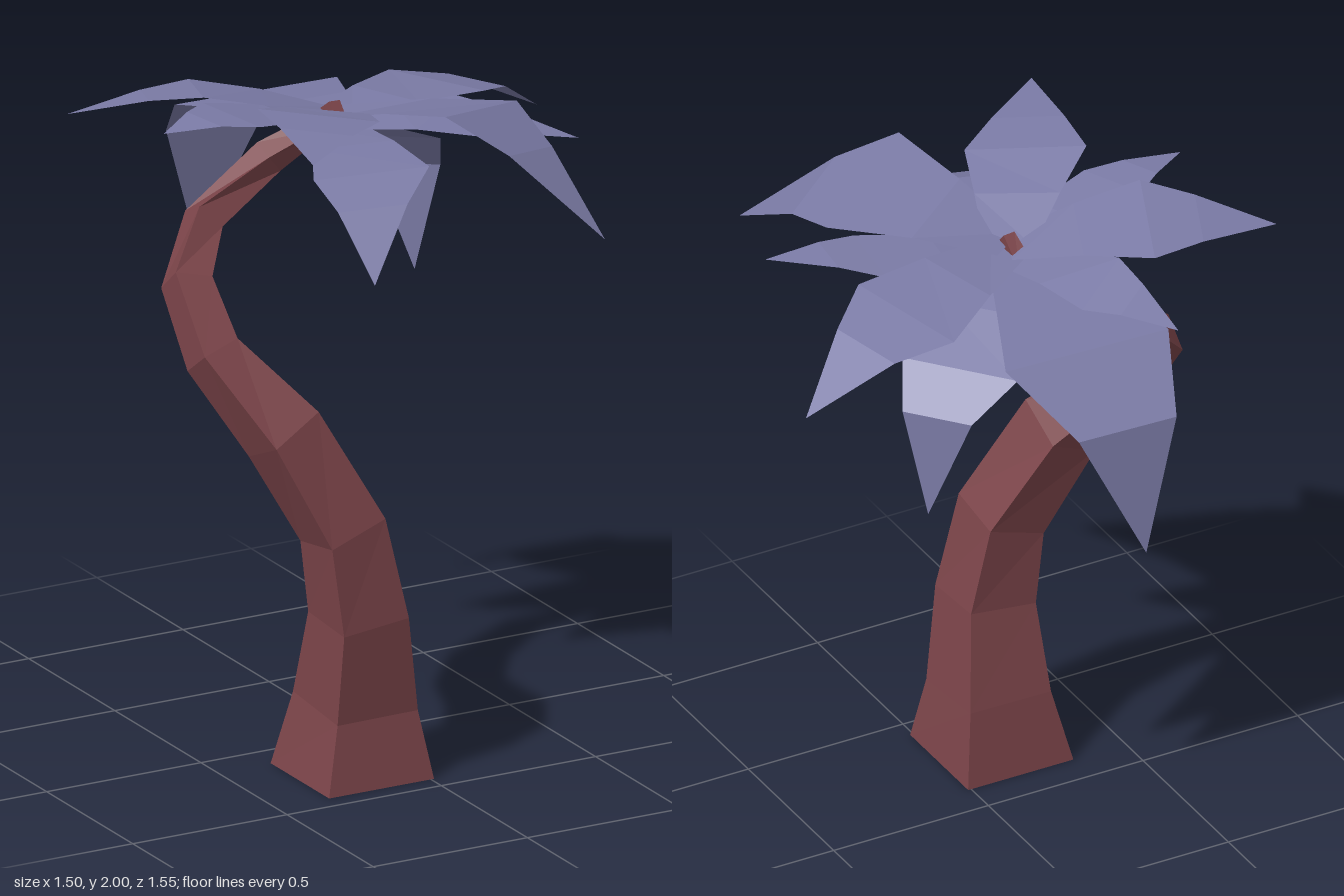
import * as THREE from 'three';

const V = (p) => new THREE.Vector3(...p);

function meshFrom(tris, material, name) {
  const geo = new THREE.BufferGeometry().setFromPoints(tris);
  geo.computeVertexNormals();
  const mesh = new THREE.Mesh(geo, material);
  mesh.name = name;
  return mesh;
}

// Square-section trunk swept through [x, y, z, half width] stations
function buildTrunk(material) {
  const stations = [
    [-0.16, 0, 0.27, 0.17], [-0.15, 0.21, 0.27, 0.13], [-0.165, 0.485, 0.315, 0.105],
    [-0.21, 0.745, 0.305, 0.094], [-0.36, 1.035, 0.23, 0.088], [-0.51, 1.255, 0.085, 0.062],
    [-0.515, 1.43, -0.055, 0.056], [-0.39, 1.56, -0.18, 0.045], [-0.18, 1.71, -0.18, 0.037],
    [-0.06, 1.82, -0.09, 0.026], [-0.052, 1.89, -0.015, 0.018],
  ];
  const centres = stations.map((s) => V(s.slice(0, 3)));
  const last = stations.length - 1;
  const rings = centres.map((c, i) => {
    const t = i === 0 ? V([0, 1, 0])
      : centres[Math.min(i + 1, last)].clone().sub(centres[i - 1]).normalize();
    const u = V([1, 0, 0]).addScaledVector(t, -t.x).normalize();
    const v = u.clone().cross(t);
    const w = stations[i][3];
    return [[1, 1], [1, -1], [-1, -1], [-1, 1]].map(([a, b]) =>
      c.clone().addScaledVector(u, a * w).addScaledVector(v, b * w));
  });
  const tris = [];
  for (let i = 0; i < last; i++) {
    for (let k = 0; k < 4; k++) {
      const n = (k + 1) % 4, lo = rings[i], hi = rings[i + 1];
      tris.push(lo[k], lo[n], hi[n], lo[k], hi[n], hi[k]);
    }
  }
  const b = rings[0], e = rings[last];
  tris.push(b[0], b[2], b[1], b[0], b[3], b[2], e[0], e[1], e[2], e[0], e[2], e[3]);
  return meshFrom(tris, material, 'trunk');
}

// Frond: narrow base at the crown, two widest corners, a bent section, a point
function buildFrond({ left, right, tip, bend = [0, 0.03, 0], crown = 1.86 }, material, name) {
  const l = V(left), r = V(right), end = V(tip), offset = V(bend);
  const across = l.clone().sub(r).setY(0).setLength(0.07);
  const hub = V([-0.05, crown, -0.03]);
  const lift = V([0, 0.012, 0]);
  const bl = hub.clone().add(across), br = hub.clone().sub(across);
  const sections = [
    [bl, br],
    [bl.clone().lerp(l, 0.5).add(lift), br.clone().lerp(r, 0.5).add(lift)],
    [l, r],
    [l.clone().lerp(end, 0.4).add(offset), r.clone().lerp(end, 0.4).add(offset)],
  ];
  const tris = [];
  for (let i = 0; i < 3; i++) {
    const [a, b] = sections[i], [c, d] = sections[i + 1];
    tris.push(a, b, d, a, d, c);
  }
  tris.push(sections[3][0], sections[3][1], end);
  return meshFrom(tris, material, name);
}

export function createModel() {
  const model = new THREE.Group();
  model.name = 'palmTree';
  const bark = new THREE.MeshStandardMaterial({ color: 0x7b4449, flatShading: true });
  const leaf = new THREE.MeshStandardMaterial({
    color: 0x7b7ba6, flatShading: true, side: THREE.DoubleSide,
  });
  model.add(buildTrunk(bark));

  const fronds = {
    backFrond: { left: [0.22, 1.78, -0.5], right: [-0.295, 1.78, -0.52], tip: [-0.08, 1.24, -0.78], bend: [0, 0.06, -0.1], crown: 1.85 },
    leftFrond: { left: [0.42, 1.86, 0], right: [0.31, 1.83, -0.36], tip: [0.75, 1.67, -0.29] },
    rightFrond: { left: [-0.34, 1.915, -0.36], right: [-0.46, 1.975, -0.055], tip: [-0.75, 1.89, -0.33], bend: [0, 0.01, 0] },
    frontLeftFrond: { left: [0.03, 1.995, 0.47], right: [0.39, 1.91, 0.24], tip: [0.38, 1.66, 0.77], crown: 1.87 },
    frontRightFrond: { left: [-0.4, 1.995, 0.15], right: [-0.11, 1.965, 0.34], tip: [-0.46, 1.97, 0.58], bend: [0, 0.01, 0], crown: 1.865 },
    lowerFrontFrond: { left: [-0.33, 1.83, 0.35], right: [0, 1.84, 0.43], tip: [-0.31, 1.61, 0.67], crown: 1.83 },
    lowerBackLeftFrond: { left: [0.36, 1.68, -0.15], right: [0.12, 1.66, -0.39], tip: [0.36, 1.24, -0.3], bend: [0.05, 0.06, -0.03], crown: 1.83 },
    lowerRightFrond: { left: [-0.45, 1.95, -0.08], right: [-0.38, 1.93, 0.13], tip: [-0.66, 1.94, 0.07], bend: [0, 0.01, 0], crown: 1.85 },
    lowerLeftFrond: { left: [0.28, 1.83, 0.28], right: [0.33, 1.86, -0.01], tip: [0.54, 1.8, 0.33], bend: [0, 0.01, 0], crown: 1.84 },
    lowerBackFrond: { left: [-0.1, 1.82, -0.37], right: [-0.28, 1.88, -0.26], tip: [-0.3, 1.8, -0.57], bend: [0, 0.01, 0], crown: 1.84 },
  };
  const crown = new THREE.Group();
  crown.name = 'crown';
  for (const [name, spec] of Object.entries(fronds)) crown.add(buildFrond(spec, leaf, name));
  model.add(crown);
  return model;
}
